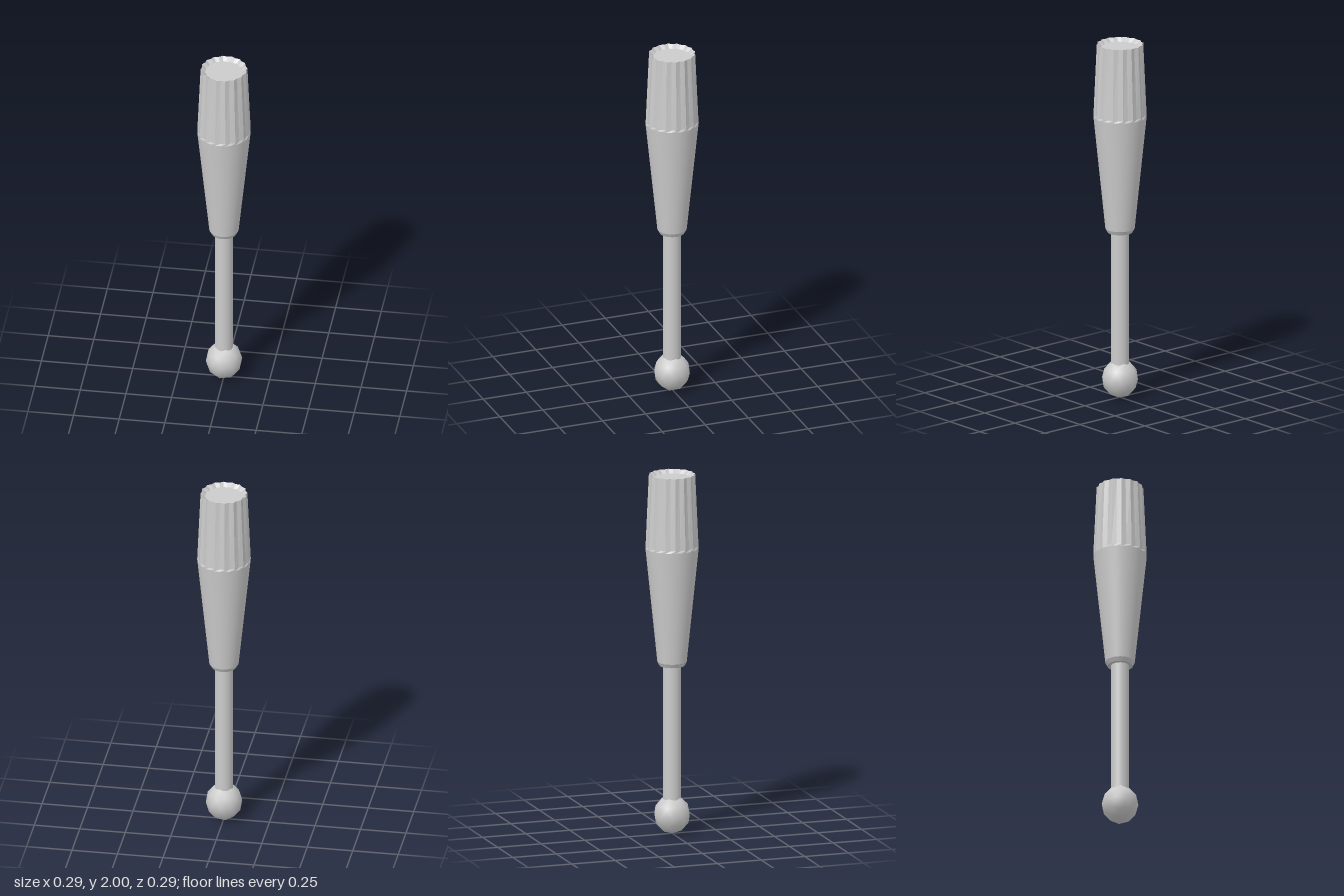
import * as THREE from 'three';

const grey = new THREE.MeshStandardMaterial({ color: 0xcccccc });
const greyFlat = new THREE.MeshStandardMaterial({ color: 0xcccccc, flatShading: true });
const FLUTES = 16;

function addPart(group, name, geometry, material = grey) {
  const mesh = new THREE.Mesh(geometry, material);
  mesh.name = name;
  group.add(mesh);
  return mesh;
}

// Skin through rings of alternating groove and ridge radii, closed by a floor disc
function flutedGeometry(rings) {
  const n = FLUTES * 2;
  const positions = [];
  const index = [];
  for (const { y, ridge, groove } of rings) {
    for (let i = 0; i < n; i++) {
      const a = (i / n) * Math.PI * 2;
      const r = i % 2 ? ridge : groove;
      positions.push(Math.sin(a) * r, y, Math.cos(a) * r);
    }
  }
  const last = (rings.length - 1) * n;
  const centre = rings.length * n;
  positions.push(0, rings[rings.length - 1].y, 0);
  for (let i = 0; i < n; i++) {
    const j = (i + 1) % n;
    for (let k = 0; k < last; k += n) {
      index.push(k + i, k + j, k + n + j, k + i, k + n + j, k + n + i);
    }
    index.push(last + i, last + j, centre);
  }
  const geometry = new THREE.BufferGeometry();
  geometry.setAttribute('position', new THREE.Float32BufferAttribute(positions, 3));
  geometry.setIndex(index);
  const flat = geometry.toNonIndexed();
  flat.computeVertexNormals();
  return flat;
}

// Tapered cylinder between two heights
function taper(y0, r0, y1, r1, sides, open) {
  return new THREE.CylinderGeometry(r1, r0, y1 - y0, sides, 1, open).translate(0, (y0 + y1) / 2, 0);
}

export function createModel() {
  const model = new THREE.Group();
  model.name = 'ballEndedTool';

  // Faceted ball with a vertex at each pole
  const ball = new THREE.IcosahedronGeometry(0.1, 1);
  ball.rotateZ(-Math.atan(2 / (1 + Math.sqrt(5))));
  ball.scale(1, 1.08, 1).translate(0, 0.108, 0);
  addPart(model, 'ballTip', ball);

  // Shaft running from the ball into the handle
  addPart(model, 'shaft', taper(0.12, 0.05, 0.96, 0.05, 32, false));

  // Handle: bevelled collar, then a smooth cone
  const handle = new THREE.Group();
  handle.name = 'handle';
  model.add(handle);
  addPart(handle, 'collar', taper(0.935, 0.068, 0.957, 0.08, 32, false));
  addPart(handle, 'cone', taper(0.957, 0.08, 1.59, 0.145, 32, true));

  // Fluted grip with a sloping rim and a shallow sunken top
  addPart(handle, 'flutedGrip', flutedGeometry([
    { y: 1.59, ridge: 0.145, groove: 0.145 },
    { y: 1.602, ridge: 0.145, groove: 0.139 },
    { y: 2.0, ridge: 0.127, groove: 0.119 },
    { y: 1.98, ridge: 0.105, groove: 0.098 },
  ]), greyFlat);

  return model;
}
